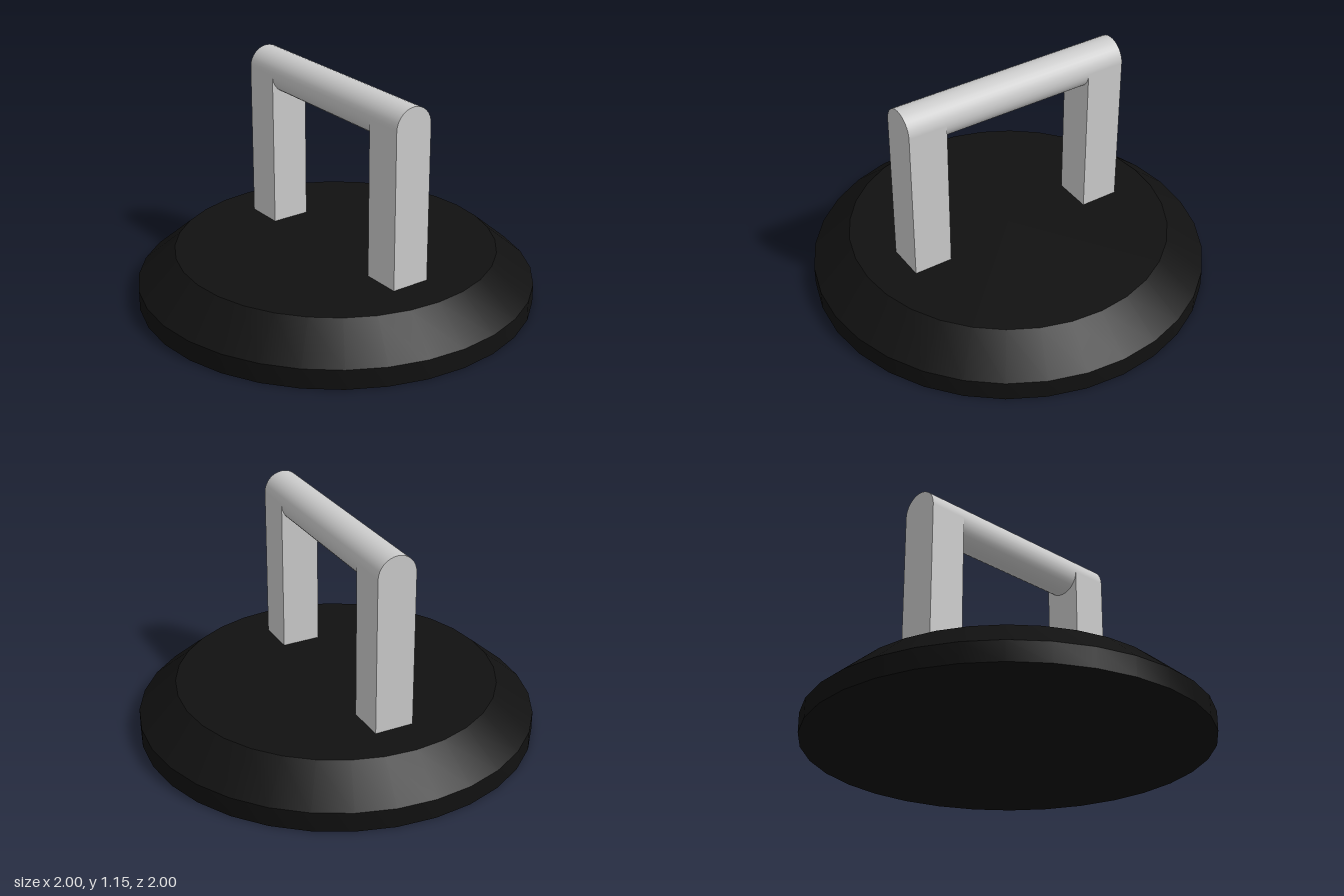
import * as THREE from 'three';
import { toCreasedNormals } from 'three/addons/utils/BufferGeometryUtils.js';

export function createModel() {
  const model = new THREE.Group();
  const grey = new THREE.MeshStandardMaterial({ color: 0xcccccc });
  const black = new THREE.MeshStandardMaterial({ color: 0x111111 });

  const add = (name, geometry, material, x, y, z) => {
    const mesh = new THREE.Mesh(geometry, material);
    mesh.name = name;
    mesh.position.set(x, y, z);
    model.add(mesh);
    return mesh;
  };

  // Round base: upright rim, sloping shoulder and flat top
  const profile = [[0, 0], [1, 0], [1, 0.1], [0.81, 0.26], [0, 0.26]]
    .map(([r, y]) => new THREE.Vector2(r, y));
  const base = toCreasedNormals(new THREE.LatheGeometry(profile, 32), Math.PI / 6);
  add('base', base, black, 0, 0, 0);

  // Square posts, front and back, reaching the bar's axis
  const bottom = 0.26, axis = 1.055;
  for (const side of [1, -1]) {
    add(side > 0 ? 'frontPost' : 'backPost',
      new THREE.BoxGeometry(0.2, axis - bottom, 0.2), grey,
      0, (bottom + axis) / 2, side * 0.5);
  }

  // Round grip bar across the posts
  const grip = add('gripBar', new THREE.CylinderGeometry(0.1, 0.1, 1.2, 32), grey, 0, axis, 0);
  grip.rotation.x = Math.PI / 2;

  return model;
}
